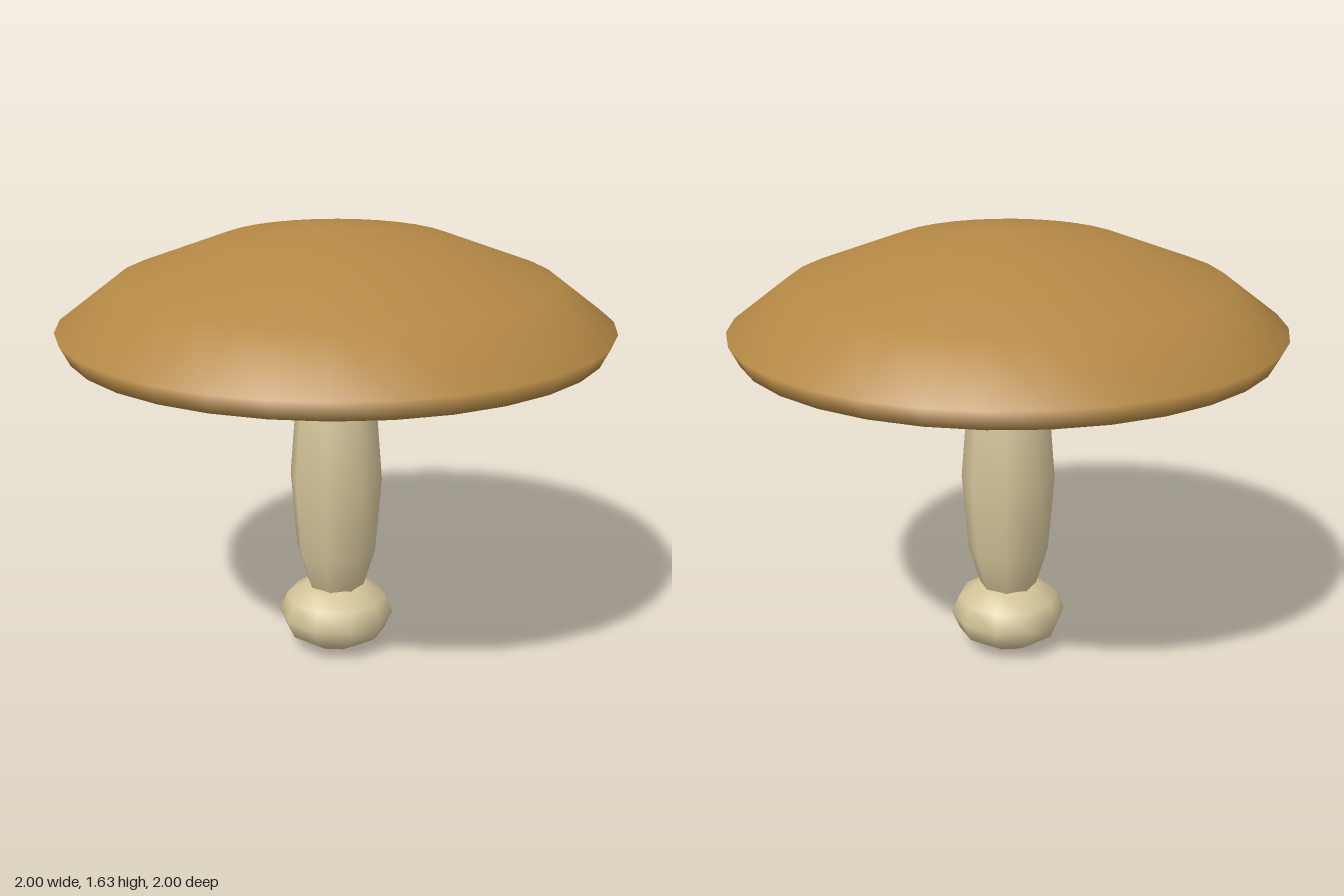
import * as THREE from 'three';

const brown = new THREE.MeshStandardMaterial({ color: 0xb48845 });
brown.name = 'cap brown';
const cream = new THREE.MeshStandardMaterial({ color: 0xd3c499 });
cream.name = 'stem cream';

// Cap outline from the underside centre, round the rim, up to the crown
const capProfile = [
  [0, 1.125], [0.27, 1.127], [0.965, 1.215],
  [1, 1.285], [0.79, 1.445], [0.42, 1.583], [0.1, 1.633], [0, 1.635],
].map(([r, y]) => new THREE.Vector2(r, y));
const RIM = 2; // first profile point that belongs to the brown skin

// One smooth lathe whose triangles are sorted into underside and skin groups
function capGeometry() {
  const geometry = new THREE.LatheGeometry(capProfile, 32);
  const source = geometry.index.array;
  const under = [], skin = [];
  for (let i = 0; i < source.length; i += 3) {
    const tri = [source[i], source[i + 1], source[i + 2]];
    const rings = tri.map((v) => v % capProfile.length);
    (Math.max(...rings) <= RIM ? under : skin).push(...tri);
  }
  geometry.setIndex([...under, ...skin]);
  geometry.addGroup(0, under.length, 0);
  geometry.addGroup(under.length, skin.length, 1);
  return geometry;
}

// Low-poly ball stretched vertically
function ellipsoid(name, radius, halfHeight, sides, y) {
  const geometry = new THREE.SphereGeometry(radius, sides, 6);
  geometry.scale(1, halfHeight / radius, 1);
  const mesh = new THREE.Mesh(geometry, cream);
  mesh.name = name;
  mesh.position.y = y;
  return mesh;
}

export function createModel() {
  const mushroom = new THREE.Group();
  mushroom.name = 'mushroom';

  const cap = new THREE.Mesh(capGeometry(), [cream, brown]);
  cap.name = 'cap';

  mushroom.add(
    cap,
    ellipsoid('stem', 0.175, 0.58, 8, 0.69),
    ellipsoid('bulb', 0.218, 0.137, 10, 0.137),
  );
  return mushroom;
}
